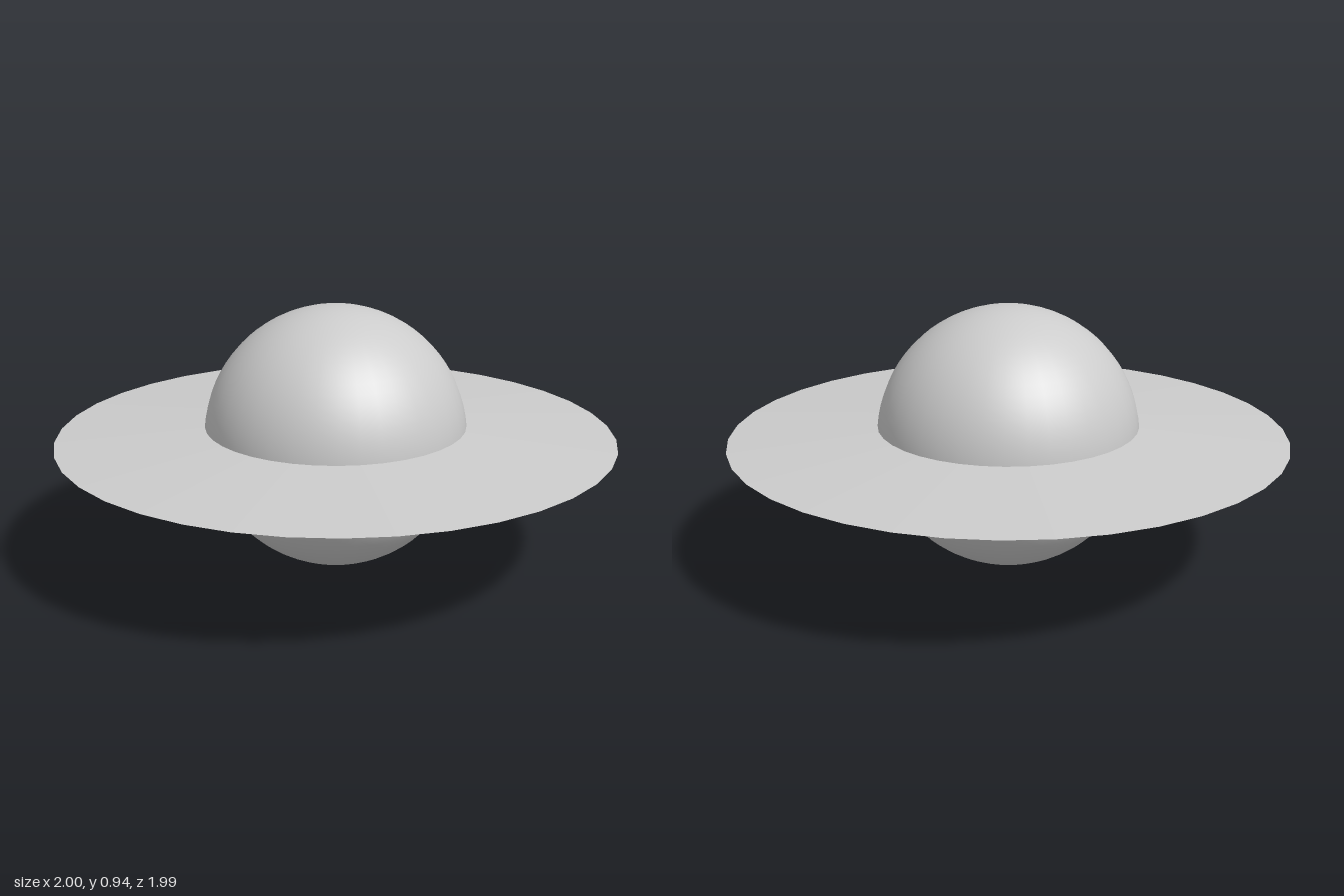
import * as THREE from 'three';

const SEGMENTS = 38;
const RADIUS = 0.47;
const CENTRE_Y = 0.472;

export function createModel() {
  const group = new THREE.Group();
  group.name = 'ringedPlanet';
  const material = new THREE.MeshStandardMaterial({ color: 0xcccccc });

  // Smooth round body
  const planet = new THREE.Mesh(new THREE.SphereGeometry(RADIUS, SEGMENTS, SEGMENTS), material);
  planet.name = 'planet';
  planet.position.y = CENTRE_Y;
  group.add(planet);

  // Wide ring: a wedge section thick at the planet, tapering to a sharp rim
  const ringMaterial = material.clone();
  ringMaterial.flatShading = true;
  const section = [[0.42, -0.044], [1, 0], [0.42, 0.044], [0.42, -0.044]]
    .map(([r, y]) => new THREE.Vector2(r, y));
  const ring = new THREE.Mesh(new THREE.LatheGeometry(section, SEGMENTS, Math.PI / 2), ringMaterial);
  ring.name = 'ring';
  ring.position.y = CENTRE_Y;
  group.add(ring);

  return group;
}
